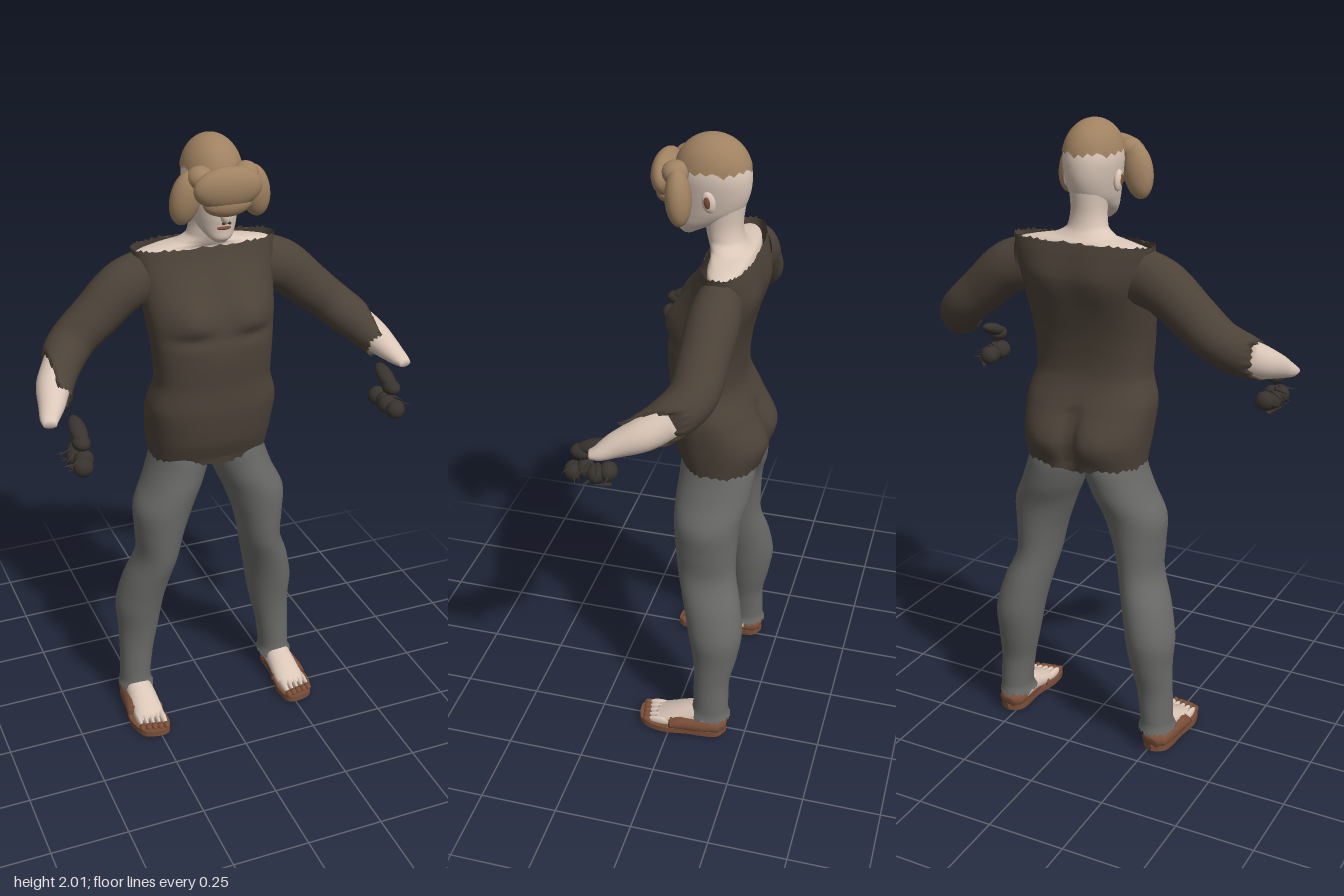
import * as THREE from 'three';

const mat = (name, color, side = THREE.DoubleSide) => {
  const m = new THREE.MeshStandardMaterial({ color, side });
  m.name = name;
  return m;
};

// Smooth tube through sections [x, y, z, radiusU, radiusV].
// upright: rings stay horizontal (U = x, V = z); otherwise they follow the path.
function loft(sections, { n = 32, rows = 32, e = 1, upright = true, caps = false, rule } = {}) {
  const path = new THREE.CatmullRomCurve3(sections.map(s => new THREE.Vector3(s[0], s[1], s[2])));
  const radii = new THREE.CatmullRomCurve3(sections.map(s => new THREE.Vector3(s[3], s[4], 0)));
  const Y = new THREE.Vector3(0, 1, 0), pos = [], idx = [];
  const pw = v => Math.sign(v) * Math.abs(v) ** e;
  for (let i = 0; i <= rows; i++) {
    const t = i / rows, c = path.getPoint(t), r = radii.getPoint(t);
    const T = upright ? Y : path.getTangent(t);
    const U = upright ? new THREE.Vector3(1, 0, 0) : new THREE.Vector3().crossVectors(Y, T).normalize();
    const V = new THREE.Vector3().crossVectors(U, T);
    for (let j = 0; j < n; j++) {
      const a = j / n * Math.PI * 2;
      const p = c.clone().addScaledVector(U, pw(Math.cos(a)) * r.x).addScaledVector(V, pw(Math.sin(a)) * r.y);
      if (rule) rule(p, t, j);
      pos.push(p.x, p.y, p.z);
      if (i < rows) {
        const A = i * n + j, C = i * n + (j + 1) % n;
        idx.push(A, A + n, C, C, A + n, C + n);
      }
    }
  }
  if (caps) {
    const b = pos.length / 3, p0 = path.getPoint(0), p1 = path.getPoint(1);
    pos.push(p0.x, p0.y, p0.z, p1.x, p1.y, p1.z);
    for (let j = 0; j < n; j++) {
      const k = (j + 1) % n;
      idx.push(b, j, k, b + 1, rows * n + k, rows * n + j);
    }
  }
  const g = new THREE.BufferGeometry();
  g.setAttribute('position', new THREE.Float32BufferAttribute(pos, 3));
  g.setIndex(idx);
  g.computeVertexNormals();
  return g;
}

const blob = (x, y, z, rx, ry, rz, tiltX = 0, tiltZ = 0) =>
  new THREE.SphereGeometry(1, 28, 20).scale(rx, ry, rz).rotateX(tiltX).rotateZ(tiltZ).translate(x, y, z);

const bump = (d2, w) => Math.exp(-d2 / (w * w));
const jag = j => [0, 1, 0.3, -0.8, 0.5, -0.4, 0.9][j % 7];

export function createModel() {
  const group = new THREE.Group();
  group.name = 'figure';
  const tunic = mat('tunic brown', 0x4c4238), trousers = mat('trouser grey', 0x6a6b68);
  const skin = mat('skin', 0xdac7b8), hair = mat('hair tan', 0xa08261);
  const leather = mat('sandal leather', 0x7a4e38), dark = mat('dark charcoal', 0x38332e);

  const add = (name, g, m) => {
    const mesh = new THREE.Mesh(g, m);
    mesh.name = name;
    group.add(mesh);
  };
  // Left part plus its mirror image with the winding turned round
  const pair = (name, g, m) => {
    add('left ' + name, g, m);
    const r = g.index ? g.clone() : null;
    r.scale(-1, 1, 1);
    const ix = Array.from(r.index.array);
    for (let i = 0; i < ix.length; i += 3) [ix[i], ix[i + 1]] = [ix[i + 1], ix[i]];
    r.setIndex(ix);
    r.computeVertexNormals();
    add('right ' + name, r, m);
  };

  // Tunic body with chest, back and seat shaping and ragged hems
  add('tunic body', loft([
    [0, 0.965, -0.11, 0.193, 0.122], [0, 1.05, -0.1, 0.203, 0.142], [0, 1.15, -0.075, 0.21, 0.13],
    [0, 1.25, -0.058, 0.187, 0.113], [0, 1.35, -0.06, 0.193, 0.117], [0, 1.45, -0.082, 0.205, 0.115],
    [0, 1.55, -0.113, 0.215, 0.104], [0, 1.62, -0.127, 0.225, 0.084], [0, 1.66, -0.13, 0.23, 0.072],
  ], {
    n: 84, rows: 72, e: 0.8, rule: (p, t, j) => {
      const ax = Math.abs(p.x), dx2 = (ax - 0.095) ** 2;
      if (p.z > -0.08) {
        p.z += 0.032 * bump(dx2 + (p.y - 1.465) ** 2, 0.07);
        p.z -= 0.012 * bump(dx2 * 0.5 + 6 * (p.y - 1.4) ** 2, 0.05);
      } else {
        p.z -= 0.022 * bump(dx2 + (p.y - 1.05) ** 2, 0.085);
        p.z += 0.03 * bump(p.x ** 2 + 0.04 * (p.y - 1.03) ** 2, 0.022) * (p.y < 1.15 ? 1 : 0.4);
        p.z -= 0.012 * bump(dx2 + (p.y - 1.54) ** 2, 0.08);
      }
      if (t === 0) p.y += 0.007 * jag(j) - 0.02 * bump(ax ** 2, 0.05);
      if (t === 1) p.y += 0.008 * jag(j) - 0.006;
    },
  }), tunic);

  // Sleeves, cut off raggedly at the forearm
  pair('sleeve', loft([
    [0.19, 1.565, -0.13, 0.07, 0.085], [0.26, 1.54, -0.13, 0.077, 0.081], [0.35, 1.465, -0.125, 0.074, 0.074],
    [0.43, 1.397, -0.115, 0.072, 0.068], [0.485, 1.35, -0.065, 0.066, 0.066],
    [0.518, 1.315, 0, 0.055, 0.056], [0.53, 1.295, 0.045, 0.045, 0.048],
  ], {
    n: 42, rows: 40, upright: false, rule: (p, t, j) => {
      p.x = Math.min(p.x, 0.522 + 0.007 * jag(j));
      p.y = Math.min(p.y, 1.662);
      if (t === 1) p.z += 0.012 * jag(j);
    },
  }), tunic);

  // Forearms
  pair('forearm', loft([
    [0.482, 1.35, -0.065, 0.055, 0.058], [0.525, 1.315, 0, 0.052, 0.05],
    [0.552, 1.285, 0.07, 0.04, 0.036], [0.572, 1.264, 0.115, 0.028, 0.022], [0.577, 1.258, 0.14, 0.02, 0.012],
  ], { n: 24, rows: 20, upright: false, caps: true }), skin);

  // Loose dark glove pieces below the wrists
  pair('glove cuff', blob(0.5, 1.235, 0.155, 0.025, 0.02, 0.06, 0.35), dark);
  pair('glove knuckle', blob(0.502, 1.212, 0.19, 0.027, 0.023, 0.034), dark);
  for (let i = 0; i < 4; i++) {
    pair('glove finger', blob(0.495 + 0.012 * (i % 2), 1.152 - 0.006 * (i % 2), 0.115 + i * 0.034, 0.03, 0.03, 0.027), dark);
  }
  for (let i = 0; i < 9; i++) {
    const spike = new THREE.ConeGeometry(0.007, 0.06, 6).rotateZ(-Math.PI / 2 + 0.5 * Math.sin(i * 2.3))
      .rotateY(-0.7 * Math.sin(i * 1.7)).translate(0.53, 1.145 + 0.022 * Math.sin(i * 4.1), 0.11 + i * 0.014);
    pair('glove spike', spike, dark);
  }

  // Trousers: [y, inner x, outer x, front z, back z]
  const leg = [
    [0.065, 0.203, 0.322, -0.055, -0.2], [0.1, 0.21, 0.315, -0.073, -0.192], [0.2, 0.198, 0.312, -0.075, -0.192],
    [0.3, 0.176, 0.312, -0.068, -0.213], [0.4, 0.158, 0.316, -0.05, -0.228], [0.5, 0.138, 0.292, -0.028, -0.215],
    [0.6, 0.115, 0.254, -0.003, -0.192], [0.7, 0.092, 0.256, 0.008, -0.192], [0.79, 0.06, 0.258, 0.015, -0.2],
    [0.87, 0.026, 0.222, 0.016, -0.22], [0.95, 0.0, 0.194, 0.01, -0.228], [1.02, -0.01, 0.18, 0, -0.21],
  ].map(([y, a, b, f, k]) => [(a + b) / 2, y, (f + k) / 2, (b - a) / 2, (f - k) / 2]);
  pair('trouser leg', loft(leg, {
    n: 42, rows: 55, rule: (p, t, j) => { if (t === 0) p.y += 0.01 * jag(j); },
  }), trousers);

  // Sandal soles
  const outline = [[0.27, -0.19], [0.312, -0.16], [0.322, -0.06], [0.332, 0.02], [0.312, 0.09], [0.27, 0.112],
    [0.222, 0.105], [0.208, 0.04], [0.225, -0.06], [0.228, -0.16]].map(p => new THREE.Vector2(...p));
  const soleShape = new THREE.Shape().setFromPoints(new THREE.SplineCurve([...outline, outline[0]]).getPoints(50));
  const sole = new THREE.ExtrudeGeometry(soleShape, { depth: 0.02, bevelEnabled: false })
    .rotateX(Math.PI / 2).translate(0, 0.022, 0);
  sole.setIndex([...Array(sole.attributes.position.count).keys()]);
  pair('sandal sole', sole, leather);

  // Heel wrap, instep and toes
  pair('sandal heel', loft([
    [0.27, 0.03, -0.188, 0.02, 0.02], [0.27, 0.035, -0.17, 0.042, 0.032], [0.272, 0.035, -0.11, 0.05, 0.04],
    [0.275, 0.035, -0.04, 0.054, 0.034], [0.278, 0.028, 0.0, 0.054, 0.02],
  ], { n: 24, rows: 20, upright: false, caps: true }), leather);
  pair('foot', loft([
    [0.265, 0.06, -0.13, 0.045, 0.06], [0.264, 0.055, -0.07, 0.047, 0.04], [0.264, 0.036, 0, 0.05, 0.028],
    [0.264, 0.026, 0.05, 0.047, 0.014],
  ], { n: 24, rows: 16, upright: false, caps: true }), skin);
  for (let i = 0; i < 5; i++) {
    const x = 0.228 + i * 0.02, end = 0.075 - 0.004 * i;
    pair('toe', blob(x, 0.028, end - 0.03, i ? 0.009 : 0.012, 0.016, 0.045), skin);
    pair('sandal toe cap', blob(x, 0.024, end + 0.018, 0.011, 0.012, 0.016), leather);
  }
  pair('sandal strap', new THREE.TorusGeometry(0.05, 0.008, 8, 24, Math.PI).scale(1.08, 0.7, 1)
    .translate(0.268, 0.022, -0.01), leather);

  // Shoulders inside the neckline, neck and head
  add('shoulders', loft([
    [0, 1.58, -0.13, 0.19, 0.07], [0, 1.64, -0.13, 0.217, 0.064], [0, 1.655, -0.128, 0.17, 0.06],
    [0, 1.667, -0.118, 0.1, 0.057], [0, 1.69, -0.105, 0.063, 0.055], [0, 1.73, -0.097, 0.055, 0.056],
    [0, 1.8, -0.09, 0.058, 0.07],
  ], { n: 40, rows: 36 }), skin);
  add('head', loft([
    [0, 1.698, 0.01, 0.018, 0.018], [0, 1.712, 0.004, 0.036, 0.036], [0, 1.74, -0.025, 0.056, 0.068],
    [0, 1.775, -0.05, 0.068, 0.098], [0, 1.83, -0.062, 0.079, 0.11], [0, 1.88, -0.065, 0.085, 0.111],
    [0, 1.94, -0.065, 0.075, 0.095], [0, 1.98, -0.06, 0.04, 0.05],
  ], { n: 36, rows: 36, caps: true }), skin);
  add('nose', blob(0, 1.785, 0.052, 0.014, 0.024, 0.018), skin);
  add('lips', blob(0, 1.747, 0.041, 0.022, 0.006, 0.008), leather);
  pair('nostril', blob(0.009, 1.767, 0.062, 0.005, 0.004, 0.005), dark);
  pair('ear', blob(0.083, 1.825, -0.07, 0.012, 0.032, 0.02, 0.2), skin);
  pair('ear hollow', blob(0.092, 1.827, -0.068, 0.005, 0.018, 0.01, 0.2), leather);

  // Hair: ragged cap with three large rolls around the brow
  const cap = new THREE.SphereGeometry(1, 42, 20, 0, Math.PI * 2, 0, 1.42).scale(0.09, 0.113, 0.113);
  const cp = cap.attributes.position;
  for (let j = 0; j <= 42; j++) cp.setY(20 * 43 + j, cp.getY(20 * 43 + j) + 0.01 * jag(j % 42));
  cap.translate(0, 1.887, -0.063);
  cap.computeVertexNormals();
  add('hair cap', cap, hair);
  add('front hair roll', blob(0, 1.875, 0.072, 0.105, 0.064, 0.041, 0.1), hair);
  add('lower hair roll', blob(0, 1.83, 0.068, 0.075, 0.04, 0.034), hair);
  pair('side hair roll', blob(0.108, 1.84, 0.012, 0.046, 0.082, 0.038, 0.1, 0.2), hair);
  pair('brow hair roll', blob(0.07, 1.9, 0.03, 0.04, 0.035, 0.04), hair);

  return group;
}
